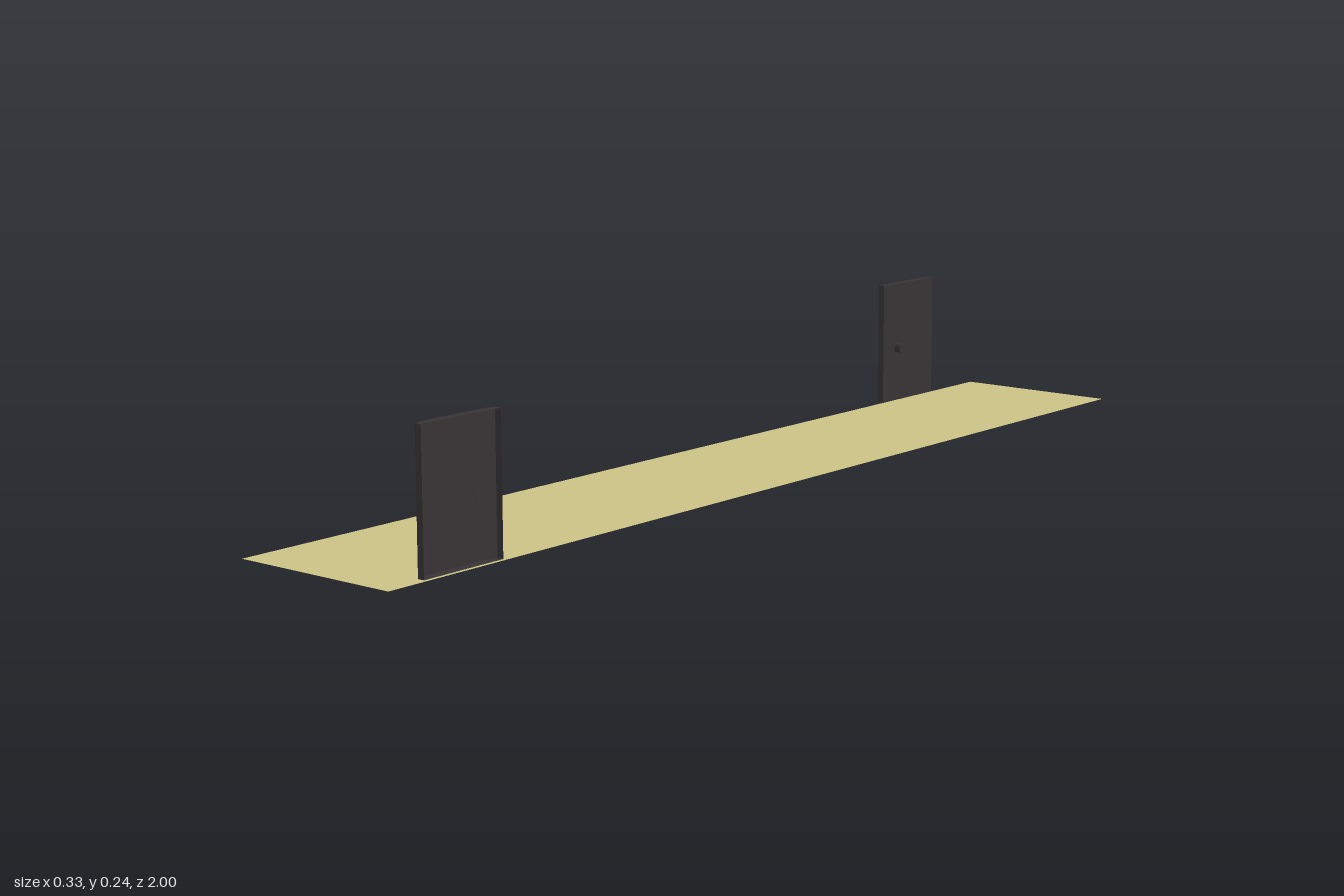
import * as THREE from 'three';

const darkMat = new THREE.MeshStandardMaterial({ color: 0x383435, flatShading: true, side: THREE.DoubleSide });
const floorMat = new THREE.MeshStandardMaterial({ color: 0xcbc286, side: THREE.DoubleSide });

// Joins rectangular rings [x, halfDepth] along x, closed at the first ring and open at the last.
function loftTray(rings, y0, y1) {
  const corners = rings.map(([x, d]) => [[x, y0, -d], [x, y1, -d], [x, y1, d], [x, y0, d]]);
  const pos = [];
  const quad = (a, b, c, d) => pos.push(...a, ...b, ...c, ...a, ...c, ...d);
  for (let i = 0; i < corners.length - 1; i++) {
    for (let k = 0; k < 4; k++) {
      const n = (k + 1) % 4;
      quad(corners[i][k], corners[i][n], corners[i + 1][n], corners[i + 1][k]);
    }
  }
  const [a, b, c, d] = corners[0];
  quad(d, c, b, a);
  const geo = new THREE.BufferGeometry();
  geo.setAttribute('position', new THREE.Float32BufferAttribute(pos, 3));
  geo.computeVertexNormals();
  return geo;
}

// Door as a shallow tray: inner side towards -x, hollow outer side towards +x.
function makeDoor(name) {
  const door = new THREE.Group();
  door.name = name;

  const panel = new THREE.Mesh(loftTray([
    [-0.009, 0.062],  // inner face
    [-0.0035, 0.085], // chamfered side edges
    [0.009, 0.085],   // open outer rim
  ], 0.002, 0.2375), darkMat);
  panel.name = 'doorPanel';

  const knob = new THREE.Mesh(new THREE.CylinderGeometry(0.0095, 0.0095, 0.013, 12), darkMat);
  knob.name = 'doorKnob';
  knob.rotation.z = Math.PI / 2;
  knob.scale.z = 0.75;
  knob.position.set(-0.0145, 0.109, -0.048);

  door.add(panel, knob);
  return door;
}

export function createModel() {
  const model = new THREE.Group();
  model.name = 'corridor';

  // Long thin floor strip
  const floor = new THREE.Mesh(new THREE.PlaneGeometry(0.32, 2), floorMat);
  floor.name = 'floor';
  floor.rotation.x = -Math.PI / 2;
  floor.position.x = 0.007;

  // One door on each long edge, facing inwards
  const leftDoor = makeDoor('leftDoor');
  leftDoor.position.set(0.157, 0, 0.841);
  const rightDoor = makeDoor('rightDoor');
  rightDoor.position.set(-0.157, 0, -0.77);
  rightDoor.rotation.y = Math.PI;

  model.add(floor, leftDoor, rightDoor);
  return model;
}
